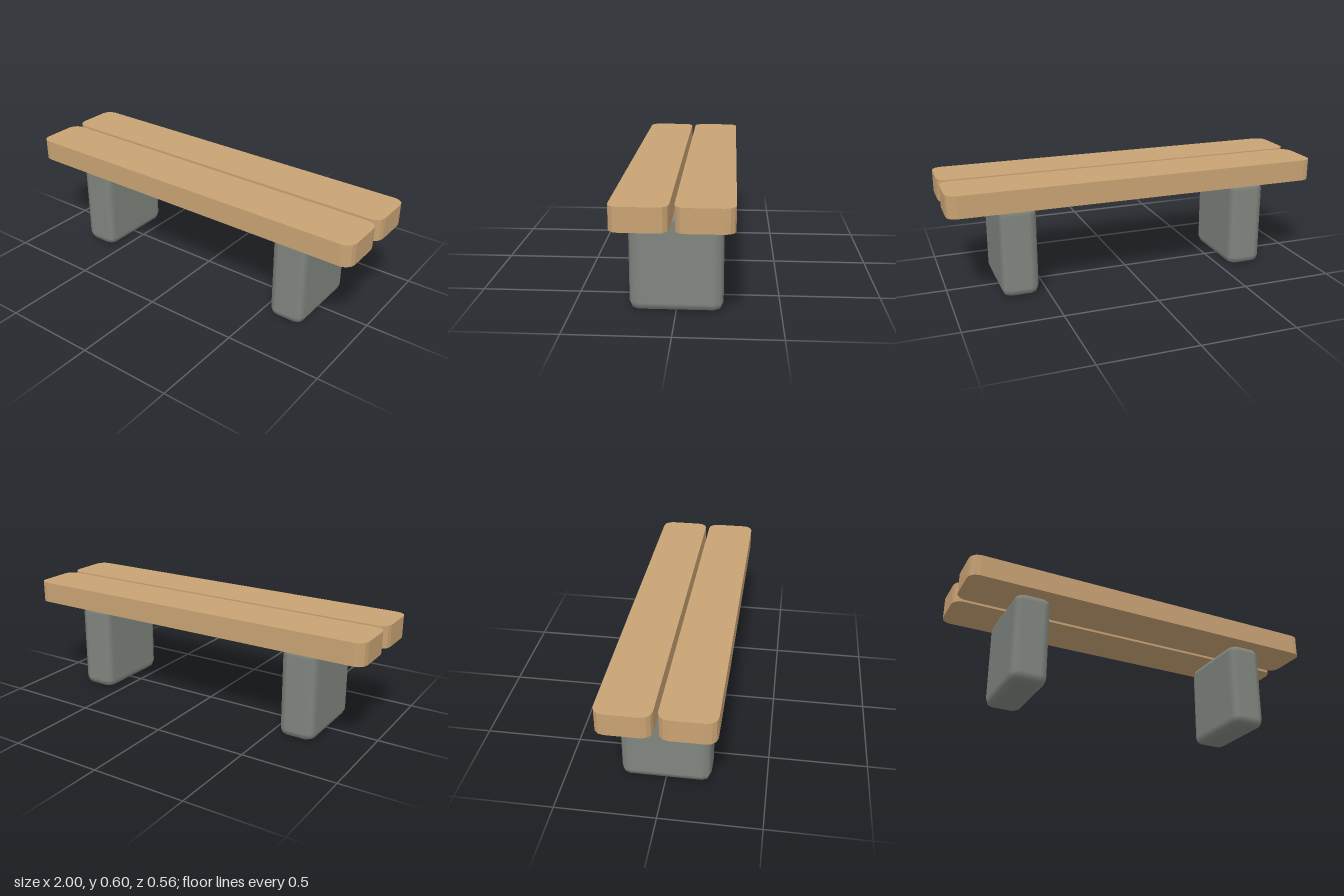
import * as THREE from 'three';
import { RoundedBoxGeometry } from 'three/addons/geometries/RoundedBoxGeometry.js';

const wood = new THREE.MeshStandardMaterial({ name: 'wood', color: 0xc9a374 });
const stone = new THREE.MeshStandardMaterial({ name: 'stone', color: 0x80857f });

// Plank outline with rounded corners, extruded upwards
function plankGeometry(length, width, height, r) {
  const x = length / 2 - r, y = width / 2 - r;
  const shape = new THREE.Shape();
  shape.absarc(x, y, r, 0, Math.PI / 2);
  shape.absarc(-x, y, r, Math.PI / 2, Math.PI);
  shape.absarc(-x, -y, r, Math.PI, Math.PI * 1.5);
  shape.absarc(x, -y, r, Math.PI * 1.5, Math.PI * 2);
  shape.closePath();
  // arcs get twice curveSegments, so sample the outline by hand at 30 degree steps
  const points = [];
  for (let corner = 0; corner < 4; corner++) {
    const cx = corner === 0 || corner === 3 ? x : -x;
    const cy = corner < 2 ? y : -y;
    for (let i = 0; i <= 3; i++) {
      const a = (corner + i / 3) * Math.PI / 2;
      points.push(new THREE.Vector2(cx + r * Math.cos(a), cy + r * Math.sin(a)));
    }
  }
  return new THREE.ExtrudeGeometry(new THREE.Shape(points), { depth: height, bevelEnabled: false })
    .rotateX(-Math.PI / 2);
}

export function createModel() {
  const bench = new THREE.Group();
  bench.name = 'bench';

  const plank = plankGeometry(2, 0.267, 0.115, 0.051);
  const leg = new RoundedBoxGeometry(0.194, 0.486, 0.45, 1, 0.045);

  for (const side of [1, -1]) {
    // Seat planks, front and back
    const seat = new THREE.Mesh(plank, wood);
    seat.name = side > 0 ? 'frontSeatPlank' : 'backSeatPlank';
    seat.position.set(0, 0.481, side * 0.1445);
    bench.add(seat);

    // Stone legs, left and right
    const support = new THREE.Mesh(leg, stone);
    support.name = side > 0 ? 'leftLeg' : 'rightLeg';
    support.position.set(side * 0.644, 0.243, 0);
    bench.add(support);
  }
  return bench;
}
